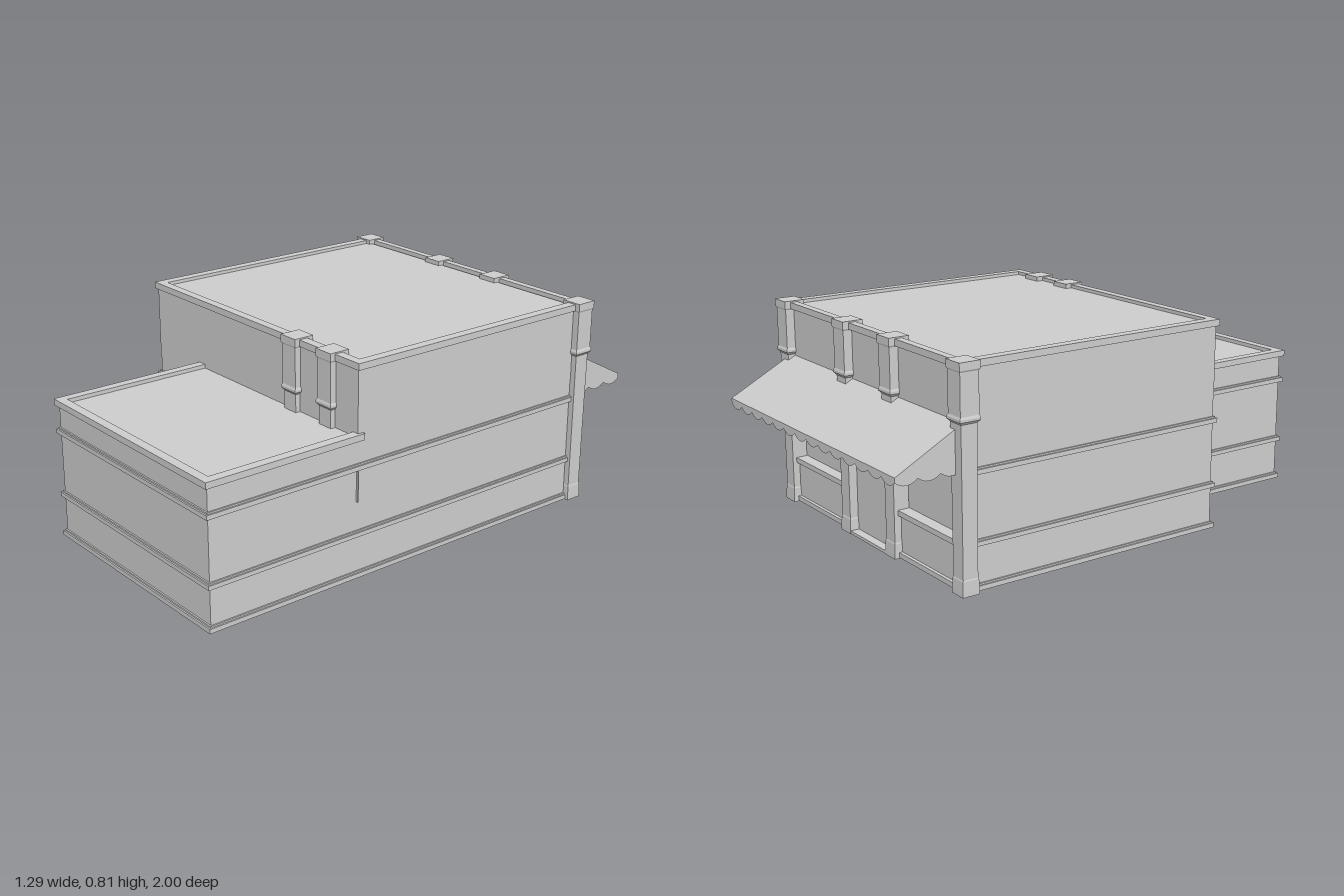
import * as THREE from 'three';

export function createModel() {
  const model = new THREE.Group();
  const grey = new THREE.MeshStandardMaterial({ color: 0xcccccc, flatShading: true });
  const thin = new THREE.MeshStandardMaterial({ color: 0xcccccc, flatShading: true, side: THREE.DoubleSide });

  function add(name, geometry, material = grey) {
    const mesh = new THREE.Mesh(geometry, material);
    mesh.name = name;
    model.add(mesh);
    return mesh;
  }
  // Box given by its limits on each axis
  function box(name, x0, x1, y0, y1, z0, z1) {
    add(name, new THREE.BoxGeometry(x1 - x0, y1 - y0, z1 - z0))
      .position.set((x0 + x1) / 2, (y0 + y1) / 2, (z0 + z1) / 2);
  }
  const outline = (pts) => pts.map(([x, z]) => new THREE.Vector2(x, -z));
  // Upright prism over a floor plan of [x, z] points
  function prism(name, plan, y0, y1, hole) {
    const shape = new THREE.Shape(outline(plan));
    if (hole) shape.holes.push(new THREE.Path(outline(hole)));
    const g = new THREE.ExtrudeGeometry(shape, { depth: y1 - y0, bevelEnabled: false });
    g.rotateX(-Math.PI / 2).translate(0, y0, 0);
    add(name, g);
  }
  const rect = (x0, x1, z0, z1) => [[x0, z1], [x1, z1], [x1, z0], [x0, z0]];
  // L-shaped floor plan grown outwards by d
  const footprint = (d, back) => [
    [-0.322 - d, 0.988 + d], [0.613 + d, 0.988 + d], [0.613 + d, back],
    [-0.613 - d, back], [-0.613 - d, 0.36 + d], [-0.322 - d, 0.36 + d],
  ];

  // Walls of both storeys
  prism('lowerWalls', footprint(0, -0.7), 0.003, 0.53);
  box('upperWalls', -0.613, 0.613, 0.5, 0.79, -0.71, 0.362);

  // Horizontal mouldings around the sides and front
  for (const [y0, y1] of [[0.003, 0.02], [0.162, 0.178], [0.413, 0.43]]) {
    prism('wallMoulding', footprint(0.012, -0.7), y0, y1);
    prism('mouldingLip', footprint(0.006, -0.7), y1, y1 + 0.006);
  }

  // Roof rims
  prism('mainRoofRim', rect(-0.625, 0.625, -0.75, 0.37), 0.778, 0.803, rect(-0.587, 0.587, -0.72, 0.335));
  prism('frontRoofRim', rect(-0.338, 0.625, 0.34, 1), 0.521, 0.545, rect(-0.302, 0.587, 0.36, 0.964));

  // Shop front: upper wall, door bay, and a sill wall under each window
  box('upperBackWall', -0.6, 0.6, 0.43, 0.785, -0.735, -0.69);
  box('windowHead', -0.6, 0.6, 0.41, 0.432, -0.75, -0.69);
  box('door', -0.14, 0.125, 0.003, 0.42, -0.73, -0.69);
  box('doorStep', -0.135, 0.13, 0, 0.012, -0.765, -0.69);
  for (const [x0, x1] of [[-0.6, -0.17], [0.155, 0.6]]) {
    box('sillWall', x0, x1, 0.003, 0.165, -0.735, -0.69);
    box('windowSill', x0, x1, 0.16, 0.18, -0.748, -0.69);
    box('skirting', x0, x1, 0.003, 0.022, -0.748, -0.69);
  }

  // Square pillars with a stepped base and a tall capital
  const capital = [[0.032, 0.598], [0.036, 0.603], [0.041, 0.608], [0.041, 0.617],
    [0.037, 0.625], [0.037, 0.774], [0.041, 0.78], [0.041, 0.808], [0, 0.808]];
  const base = [[0, 0], [0.034, 0], [0.034, 0.015], [0.032, 0.055], [0.03, 0.06], [0.031, 0.41]];
  const stub = [[0, 0.5], [0.033, 0.5]];
  function pillar(name, x, z, foot) {
    const profile = [...foot, ...capital].map(([r, y]) => new THREE.Vector2(r * Math.SQRT2, y));
    const g = new THREE.LatheGeometry(profile, 4).rotateY(Math.PI / 4);
    add(name, g).position.set(x, 0, z);
  }
  for (const x of [-0.608, 0.604]) pillar('cornerPillar', x, -0.733, base);
  for (const x of [-0.168, 0.154]) pillar('doorPillar', x, -0.733, base);
  for (const x of [0.26, 0.457]) pillar('frontPilaster', x, 0.349, stub);

  // Thin fin on the left wall
  box('wallFin', 0.6, 0.621, 0.293, 0.415, 0.362, 0.368);

  // Awning: sloping sheet with scalloped front and side flaps
  const W = 0.603, top = 0.592, low = 0.455, zWall = -0.735, zEdge = -0.995;
  const run = zWall - zEdge;
  const sheet = new THREE.PlaneGeometry(2 * W, Math.hypot(run, top - low));
  sheet.rotateX(-Math.PI / 2 - Math.atan2(top - low, run) + Math.PI);
  add('awningSheet', sheet, thin).position.set(0, (top + low) / 2, (zWall + zEdge) / 2);

  // Flap from u = 0 to length, with rounded tabs along its lower edge
  function flap(length, hStart, hEnd, tabs) {
    const s = new THREE.Shape();
    s.moveTo(0, 0.437).lineTo(0, hStart).lineTo(length, hEnd).lineTo(length, 0.437);
    const step = length / tabs;
    for (let i = tabs - 1; i >= 0; i--) {
      s.quadraticCurveTo((i + 0.5) * step, 0.403, i * step, 0.437);
    }
    return new THREE.ShapeGeometry(s, 6);
  }
  add('awningFrontFlap', flap(2 * W, low, low, 14), thin).position.set(-W, 0, zEdge);
  for (const side of [-1, 1]) {
    const m = add('awningSideFlap', flap(run, top, low, 3).rotateY(Math.PI / 2), thin);
    m.position.set(side * W, 0, zWall);
  }
  return model;
}
